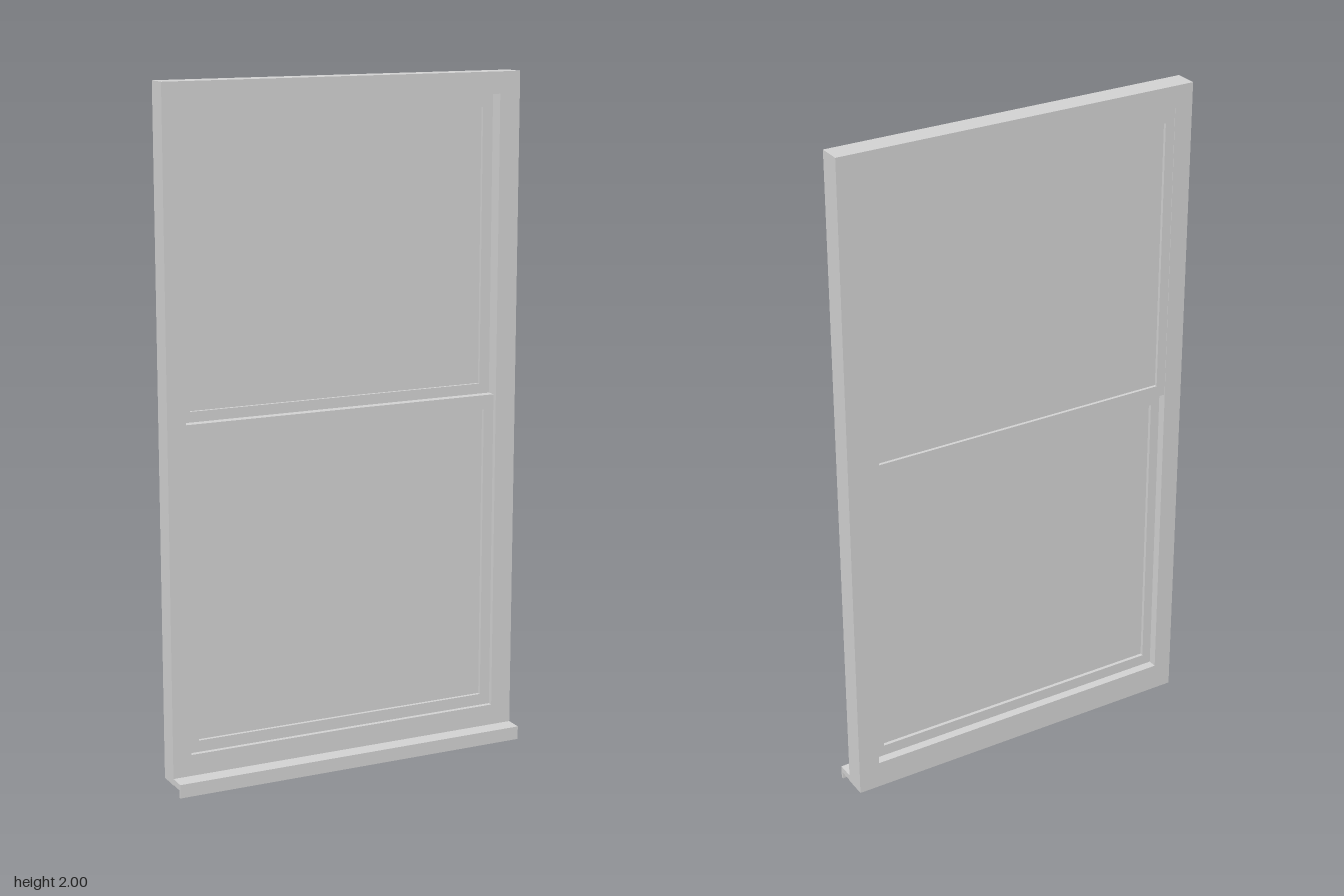
import * as THREE from 'three';

const lightGrey = new THREE.MeshStandardMaterial({ color: 0xd1d1d1 });
lightGrey.name = 'lightGrey';

// Rectangle outline [x0, y0, x1, y1] as a closed path
function rect(Type, [x0, y0, x1, y1]) {
  const path = new Type();
  path.moveTo(x0, y0);
  path.lineTo(x1, y0);
  path.lineTo(x1, y1);
  path.lineTo(x0, y1);
  path.closePath();
  return path;
}

// Rectangular surround with a rectangular opening, between two depths
function surround(name, outer, inner, back, front) {
  const shape = rect(THREE.Shape, outer);
  shape.holes.push(rect(THREE.Path, inner));
  const geometry = new THREE.ExtrudeGeometry(shape, { depth: front - back, bevelEnabled: false });
  geometry.translate(0, 0, back);
  const mesh = new THREE.Mesh(geometry, lightGrey);
  mesh.name = name;
  return mesh;
}

// Sash: a surround holding a thin pane
function sash(name, outer, inner, back, front) {
  const group = new THREE.Group();
  group.name = name;
  const [x0, y0, x1, y1] = inner;
  const pane = new THREE.Mesh(new THREE.BoxGeometry(x1 - x0, y1 - y0, 0.006), lightGrey);
  pane.position.set((x0 + x1) / 2, (y0 + y1) / 2, (back + front) / 2);
  pane.name = 'pane';
  group.add(surround('sashFrame', outer, inner, back, front), pane);
  return group;
}

export function createModel() {
  const model = new THREE.Group();
  model.name = 'sashWindow';
  const halfWidth = 0.548;
  const left = -0.492, right = 0.484;
  const paneLeft = -0.463, paneRight = 0.452;

  // Outer frame
  model.add(surround('frame', [-halfWidth, 0.02, halfWidth, 2], [left, 0.103, right, 1.937], -0.06, 0.008));

  // Upper sash sits at the back, lower sash in front of it
  model.add(sash('upperSash', [left, 1.055, right, 1.937], [paneLeft, 1.09, paneRight, 1.897], -0.0585, -0.034));
  model.add(sash('lowerSash', [left, 0.103, right, 1.06], [paneLeft, 0.137, paneRight, 1.017], -0.033, -0.006));

  // Sill with a drip lip, extruded across the width
  const profile = new THREE.Shape();
  [[0.008, 0.022], [0.008, 0.04], [0.06, 0.04], [0.06, 0], [0.053, 0], [0.053, 0.022]]
    .forEach(([z, y], i) => (i ? profile.lineTo(-z, y) : profile.moveTo(-z, y)));
  const sillGeometry = new THREE.ExtrudeGeometry(profile, { depth: halfWidth * 2, bevelEnabled: false });
  sillGeometry.rotateY(Math.PI / 2).translate(-halfWidth, 0, 0);
  const sill = new THREE.Mesh(sillGeometry, lightGrey);
  sill.name = 'sill';
  model.add(sill);

  return model;
}
